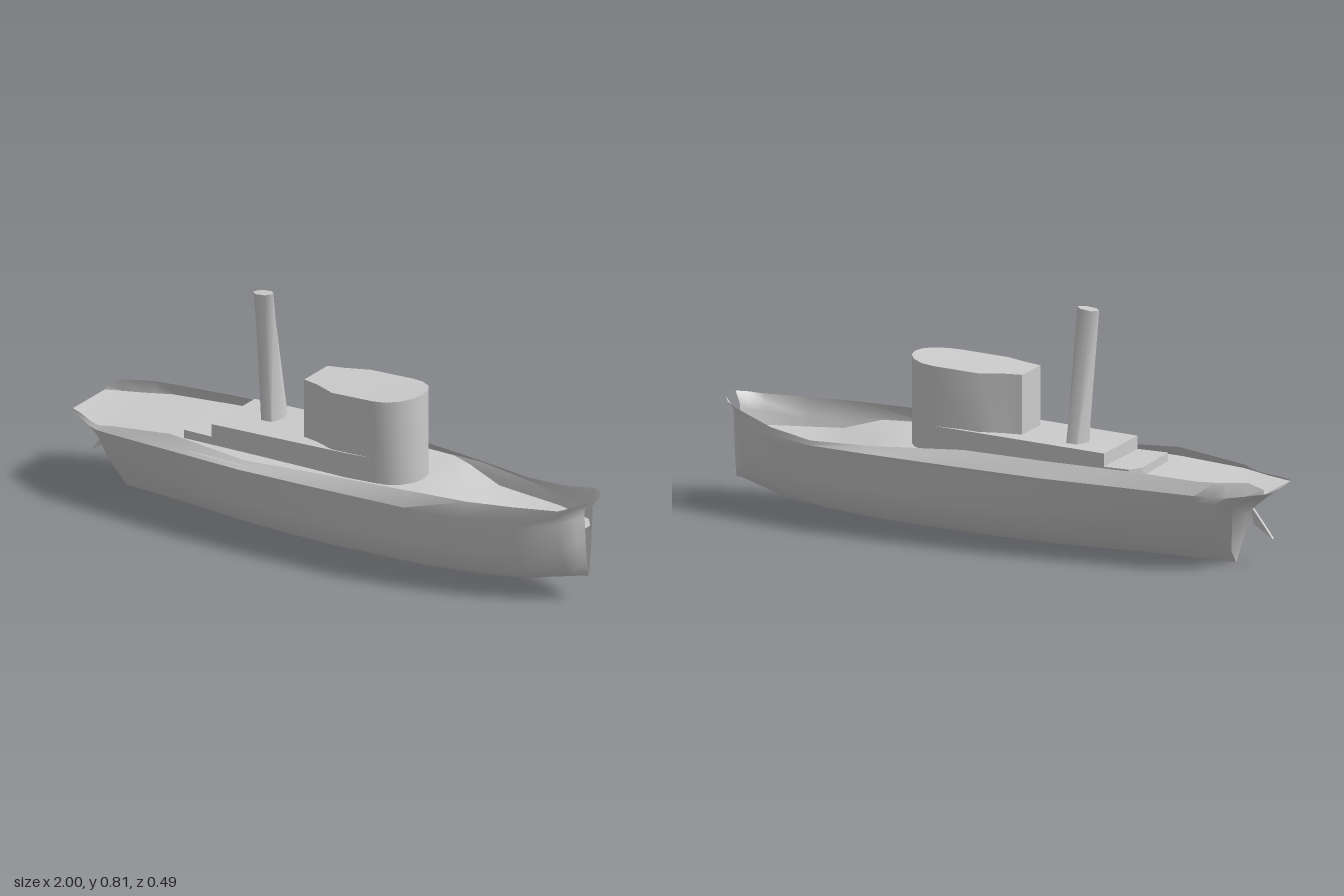
import * as THREE from 'three';
import { toCreasedNormals } from 'three/addons/utils/BufferGeometryUtils.js';

const grey = new THREE.MeshStandardMaterial({ color: 0xcccccc });
const greyThin = new THREE.MeshStandardMaterial({ color: 0xcccccc, side: THREE.DoubleSide });

// Skin a list of equally long cross-sections, each an array of [x, y, z]
function loft(sections, crease) {
  const n = sections[0].length, index = [];
  for (let i = 0; i < sections.length - 1; i++) {
    for (let j = 0; j < n - 1; j++) {
      const a = i * n + j, b = a + n;
      index.push(a, a + 1, b, a + 1, b + 1, b);
    }
  }
  const g = new THREE.BufferGeometry();
  g.setAttribute('position', new THREE.Float32BufferAttribute(sections.flat(2), 3));
  g.setIndex(index);
  return toCreasedNormals(g, crease);
}

// Vertical walls over a plan outline of [x, z] points; top(x, z) gives the roof height
function block(outline, base, top, crease) {
  const shape = new THREE.Shape(outline.map(([x, z]) => new THREE.Vector2(x, -z)));
  const g = new THREE.ExtrudeGeometry(shape, { depth: 1, bevelEnabled: false });
  g.rotateX(-Math.PI / 2);
  const p = g.attributes.position;
  for (let i = 0; i < p.count; i++) {
    p.setY(i, p.getY(i) > 0.5 ? top(p.getX(i), p.getZ(i)) : base);
  }
  return toCreasedNormals(g, crease);
}

// x, keel height, half width, rail height, bulwark top (+z side), bulwark top (-z side),
// bulwark top half width, fullness (0 = V, 1 = round bilge), forward rake of the top
const stations = [
  [-1.00, 0.262, 0.10, 0.27, 0.275, 0.285, 0.10, 0.6, 0],
  [-0.95, 0.225, 0.13, 0.265, 0.275, 0.31, 0.122, 0.5, 0],
  [-0.89, 0.17, 0.165, 0.26, 0.27, 0.31, 0.152, 0.3, 0],
  [-0.85, 0.00, 0.185, 0.26, 0.27, 0.31, 0.168, 0.0, 0],
  [-0.79, 0.00, 0.20, 0.265, 0.285, 0.31, 0.18, 0.15, 0],
  [-0.55, 0.002, 0.22, 0.27, 0.315, 0.32, 0.19, 0.5, 0],
  [-0.25, 0.005, 0.243, 0.275, 0.295, 0.325, 0.205, 0.85, 0],
  [0.05, 0.01, 0.243, 0.28, 0.315, 0.33, 0.205, 1, 0],
  [0.40, 0.02, 0.235, 0.285, 0.335, 0.305, 0.205, 1, 0],
  [0.62, 0.03, 0.195, 0.28, 0.34, 0.295, 0.188, 0.9, 0],
  [0.78, 0.045, 0.155, 0.29, 0.345, 0.315, 0.155, 0.75, 0],
  [0.92, 0.08, 0.108, 0.32, 0.35, 0.355, 0.113, 0.6, 0.01],
  [0.96, 0.09, 0.055, 0.33, 0.362, 0.362, 0.075, 0.45, 0.015],
  [0.978, 0.09, 0.025, 0.33, 0.37, 0.37, 0.038, 0.3, 0.022],
];
const vee = [0.02, 0.05, 0.2, 0.6, 0.93, 1];
const round = [0.1, 0.42, 0.68, 0.9, 0.95, 1];
const rise = [0, 0.04, 0.18, 0.52, 0.9, 1];

function hullSection([x, keel, w, rail, topL, topR, topW, full, rake]) {
  const side = (s, top) => {
    const pts = rise.map((t, k) => [x, keel + (rail - keel) * t,
      s * w * THREE.MathUtils.lerp(vee[k], round[k], full)]);
    pts.push([x + rake, top, s * topW]);
    return pts;
  };
  return [...side(1, topL).reverse(), ...side(-1, topR)];
}

// x, height, half width, skew: stern and main deck, then a slanted slope to the foredeck
const deckRows = [
  [-1.00, 0.27, 0.10, 0], [-0.89, 0.265, 0.155, 0], [-0.79, 0.27, 0.188, 0],
  [-0.55, 0.28, 0.208, 0], [-0.25, 0.285, 0.228, 0], [0.05, 0.288, 0.232, 0],
  [0.30, 0.288, 0.225, 0], [0.46, 0.285, 0.195, 0.4], [0.59, 0.248, 0.172, 0.45],
  [0.78, 0.248, 0.138, 0], [0.92, 0.25, 0.09, 0], [0.955, 0.25, 0.045, 0],
];

export function createModel() {
  const boat = new THREE.Group();
  boat.name = 'tugboat';
  const add = (name, geometry, material = grey) => {
    const mesh = new THREE.Mesh(geometry, material);
    mesh.name = name;
    boat.add(mesh);
  };

  // Hull with bulwarks, left open in a narrow slot at the stem, and the deck inside it
  add('hull', loft(stations.map(hullSection), 0.8), greyThin);
  add('deck', loft(deckRows.map(([x, y, half, skew]) =>
    [half, 0, -half].map(z => [x + skew * z, y, z])), 0.8), greyThin);

  // Low deckhouse with a lower step at its aft end
  add('aftStep', block([[-0.55, -0.09], [-0.52, -0.135], [-0.42, -0.135],
    [-0.42, 0.125], [-0.54, 0.125]], 0.26, () => 0.31, 0.5));
  add('deckhouse', block([[-0.43, -0.135], [0.1, -0.13], [0.2, -0.118], [0.2, 0.118],
    [0.1, 0.13], [-0.43, 0.125]], 0.27, x => 0.355 + Math.min(0.02, (x + 0.43) * 0.06), 0.5));

  // Wheelhouse: narrow back, round front, roof rising forward and cambered
  const plan = [[-0.1, 0.07], [-0.04, 0.085], [0.04, 0.118]];
  for (let i = 0; i <= 8; i++) {
    const a = Math.PI / 2 - (i / 8) * Math.PI;
    plan.push([0.205 + 0.12 * Math.cos(a), 0.118 * Math.sin(a)]);
  }
  plan.push([0.04, -0.118], [-0.04, -0.085], [-0.1, -0.07]);
  add('wheelhouse', block(plan, 0.27,
    (x, z) => 0.574 + (x + 0.1) * 0.04 - 0.5 * z * z, 0.75));

  // Funnel: six sides, leaning slightly aft and narrowing sideways
  const height = 0.45;
  const funnel = new THREE.CylinderGeometry(0.042, 0.042, height, 6);
  funnel.rotateY(Math.PI / 6);
  const p = funnel.attributes.position;
  for (let i = 0; i < p.count; i++) {
    const t = p.getY(i) / height + 0.5, x = p.getX(i);
    p.setXYZ(i, x * 0.95 - 0.287 - 0.025 * t, 0.357 + height * t + 0.1 * t * x,
      p.getZ(i) * (1.35 - 0.75 * t) - 0.035 + 0.028 * t);
  }
  add('funnel', toCreasedNormals(funnel, 1.1));

  // Small rudder blade under the stern
  const blade = new THREE.Shape([[-0.905, 0.2], [-0.94, 0.155], [-0.985, 0.095], [-0.915, 0.14]]
    .map(([x, y]) => new THREE.Vector2(x, y)));
  const rudder = new THREE.ExtrudeGeometry(blade, { depth: 0.012, bevelEnabled: false });
  rudder.translate(0, 0, -0.006);
  add('rudder', rudder);

  return boat;
}
